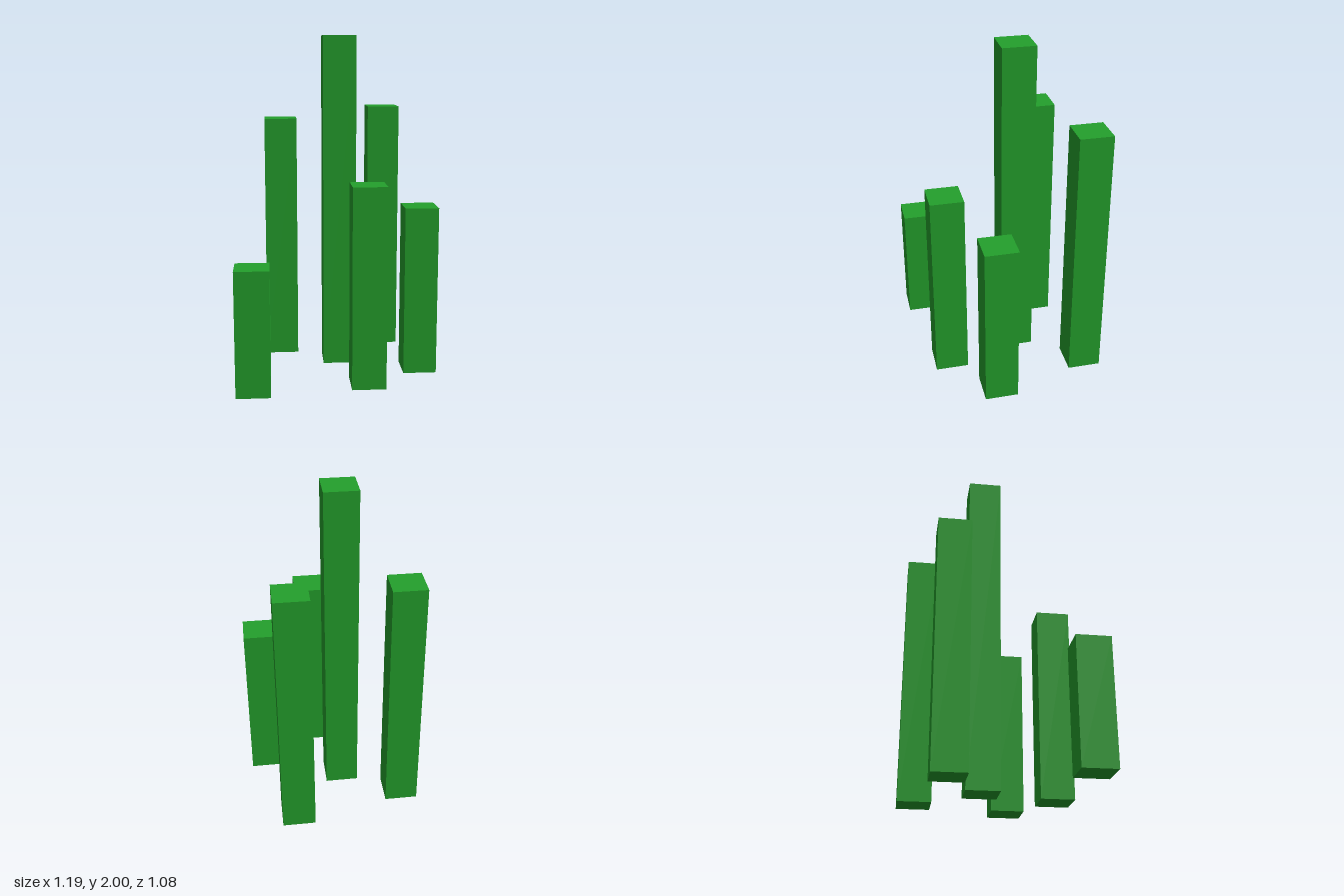
import * as THREE from 'three';

const WIDTH = 0.197; // every column shares one square footprint

// x, z and height of each column
const COLUMNS = [
  ['centreColumn', 0.025, -0.083, 2.0],
  ['backRightColumn', -0.324, -0.297, 1.5],
  ['backLeftColumn', 0.33, -0.444, 1.565],
  ['leftColumn', 0.493, 0.12, 1.005],
  ['frontColumn', 0.162, 0.361, 1.17],
  ['frontRightColumn', -0.496, 0.441, 0.727],
];

export function createModel() {
  const group = new THREE.Group();
  group.name = 'columns';
  const green = new THREE.MeshStandardMaterial({ color: 0x24a02c });

  // Square columns standing on the ground
  for (const [name, x, z, height] of COLUMNS) {
    const column = new THREE.Mesh(new THREE.BoxGeometry(WIDTH, height, WIDTH), green);
    column.name = name;
    column.position.set(x, height / 2, z);
    group.add(column);
  }
  return group;
}
